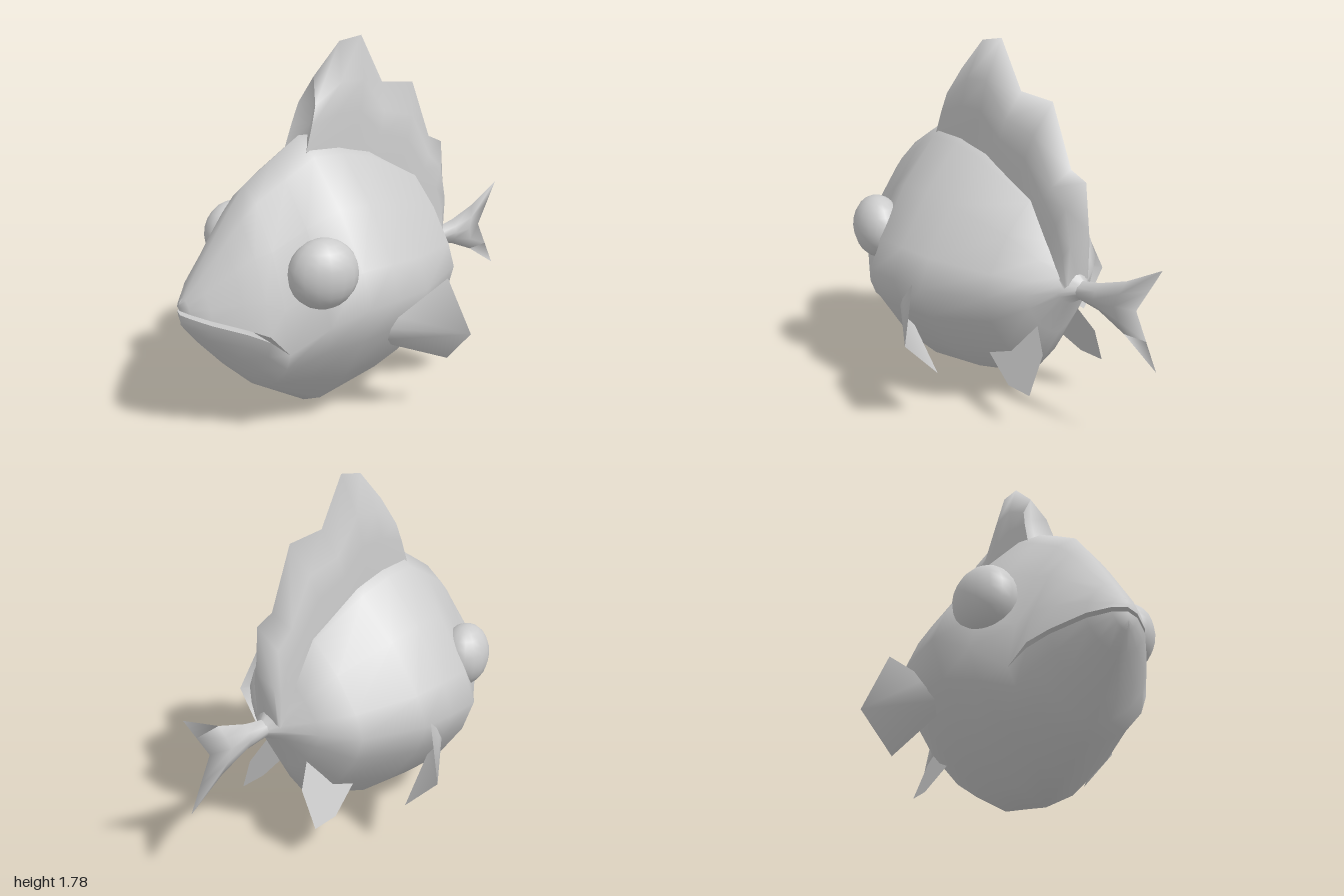
import * as THREE from 'three';
import { mergeVertices } from 'three/addons/utils/BufferGeometryUtils.js';

const material = new THREE.MeshStandardMaterial({ color: 0xcccccc, side: THREE.DoubleSide });

function makeMesh(name, points, index) {
  let geo = new THREE.BufferGeometry();
  geo.setAttribute('position', new THREE.Float32BufferAttribute(points.flat(), 3));
  geo.setIndex(index);
  geo = mergeVertices(geo, 1e-4);
  geo.computeVertexNormals();
  const mesh = new THREE.Mesh(geo, material);
  mesh.name = name;
  return mesh;
}

// Skin a list of cross-sections (each an equal-length list of [x, y, z])
function loft(name, rings) {
  const n = rings[0].length, index = [];
  for (let i = 0; i < rings.length - 1; i++) {
    for (let j = 0; j < n - 1; j++) {
      const a = i * n + j, b = a + n;
      index.push(a, a + 1, b, b, a + 1, b + 1);
    }
  }
  return makeMesh(name, rings.flat(), index);
}

// Thin plate fanned from its first corner; side = 1 or -1 mirrors it in z
function plate(name, corners, side) {
  const index = [];
  for (let i = 1; i < corners.length - 1; i++) {
    index.push(0, ...(side > 0 ? [i + 1, i] : [i, i + 1]));
  }
  return makeMesh(name, corners.map(([x, y, z]) => [x, y, z * side]), index);
}

// Body stations: x, top, upper lip / widest line, lower lip, bottom, half width, roundness above, below
const stations = [
  [-1.0, 0.69, 0.655, 0.635, 0.59, 0, 1.6, 1.6],
  [-0.98, 0.71, 0.65, 0.63, 0.56, 0.06, 1.6, 1.6],
  [-0.92, 0.80, 0.63, 0.608, 0.48, 0.14, 1.6, 1.6],
  [-0.80, 0.97, 0.587, 0.565, 0.34, 0.235, 1.55, 1.6],
  [-0.72, 1.08, 0.55, 0.525, 0.26, 0.29, 1.5, 1.6],
  [-0.65, 1.165, 0.46, 0.46, 0.19, 0.335, 1.5, 1.6],
  [-0.50, 1.26, 0.58, 0.58, 0.095, 0.435, 1.38, 1.5],
  [-0.35, 1.35, 0.66, 0.66, 0.0, 0.53, 1.28, 1.42],
  [-0.18, 1.34, 0.66, 0.66, 0.03, 0.525, 1.28, 1.42],
  [0.0, 1.29, 0.66, 0.66, 0.06, 0.51, 1.3, 1.42],
  [0.3, 1.12, 0.67, 0.67, 0.2, 0.38, 1.35, 1.45],
  [0.42, 0.92, 0.68, 0.68, 0.42, 0.23, 1.4, 1.5],
  [0.5, 0.79, 0.68, 0.68, 0.6, 0.1, 1.5, 1.5],
  [0.56, 0.73, 0.68, 0.68, 0.64, 0.04, 1.5, 1.5],
];

// Quarter curves above and below the lip line, mirrored to the far side
const steps = 4;
function bodyRing([x, top, lipU, lipL, bottom, w, pUp, pLow]) {
  const quarter = (lip, end, p) => Array.from({ length: steps + 1 }, (_, k) => {
    const a = (k / steps) * Math.PI / 2;
    return [x, lip + (end - lip) * Math.abs(Math.cos(a)) ** (2 / p), w * Math.sin(a) ** (2 / p)];
  });
  const half = [...quarter(lipU, top, pUp), ...quarter(lipL, bottom, pLow).reverse()];
  return half.concat(half.slice().reverse().map(([px, y, z]) => [px, y, -z * 1.04]));
}

// Give touching vertices of separate pieces one shared normal
function blendNormals(pieces) {
  const sums = new Map();
  const visit = fn => pieces.forEach(({ geometry: { attributes: { position: p, normal: m } } }) => {
    for (let i = 0; i < p.count; i++) {
      fn([p.getX(i), p.getY(i), p.getZ(i)].map(v => Math.round(v * 1e4)).join(), m, i);
    }
  });
  visit((key, m, i) => {
    if (!sums.has(key)) sums.set(key, new THREE.Vector3());
    sums.get(key).add(new THREE.Vector3().fromBufferAttribute(m, i));
  });
  visit((key, m, i) => {
    const v = sums.get(key).clone().normalize();
    m.setXYZ(i, v.x, v.y, v.z);
  });
}

export function createModel() {
  const fish = new THREE.Group();
  fish.name = 'fish';

  // Body: the lip rows are left unjoined in front, so the mouth is a real slit
  const rings = stations.map(bodyRing), head = rings.slice(0, 6);
  const last = rings[0].length - 1;
  const band = (name, from, to) => loft(name, head.map(r => r.slice(from, to)));
  const skin = [
    loft('trunk', rings.slice(5)),
    band('upperHeadLeft', 0, steps + 1),
    band('lowerJaw', steps + 1, last - steps),
    band('upperHeadRight', last - steps, last + 1),
  ];
  blendNormals(skin);
  const body = new THREE.Group();
  body.name = 'body';
  body.add(
    ...skin,
    loft('palate', head.map(r => [r[steps], r[last - steps]])),
    loft('mouthFloor', head.map(r => [r[last - steps - 1], r[steps + 1]])),
  );
  fish.add(body);

  // Dorsal fin: base x, y then edge x, y
  const dorsal = [
    [-0.37, 1.28, -0.26, 1.61], [-0.22, 1.27, -0.11, 1.76], [-0.08, 1.25, 0.02, 1.78],
    [0.05, 1.20, 0.15, 1.55], [0.2, 1.12, 0.35, 1.53], [0.32, 1.02, 0.47, 1.24],
    [0.4, 0.87, 0.56, 1.2], [0.46, 0.78, 0.58, 0.98], [0.52, 0.70, 0.53, 0.72],
  ];
  const finRings = dorsal.map(([bx, by, ex, ey]) => {
    const at = (t, z) => [bx + (ex - bx) * t, by + (ey - by) * t, z];
    return [at(0, -0.085), at(0.35, -0.078), at(0.63, -0.066), at(1, 0),
      at(0.63, 0.066), at(0.35, 0.078), at(0, 0.085)];
  });
  // Slightly hollow leading face
  const frontFace = finRings[0].map(([x, y, z]) => [x + 0.05 * Math.abs(z) / 0.085, y, 0]);
  fish.add(loft('dorsalFin', finRings), loft('dorsalFinFront', [frontFace, finRings[0]]));

  // Forked tail: top x, y, middle x, bottom x, y, half thickness
  const tail = [
    [0.48, 0.73, 0.48, 0.48, 0.64, 0.04], [0.56, 0.73, 0.56, 0.56, 0.63, 0.045],
    [0.66, 0.75, 0.66, 0.66, 0.615, 0.04], [0.81, 0.805, 0.77, 0.81, 0.55, 0.033],
    [0.995, 0.91, 0.87, 0.995, 0.43, 0],
  ];
  fish.add(loft('tailFin', tail.map(([tx, ty, mx, bx, by, w]) => {
    const my = 0.683;
    const left = [[tx, ty, 0], [(tx + mx) / 2, (ty + my) / 2, w * 0.75], [mx, my, w],
      [(bx + mx) / 2, (by + my) / 2, w * 0.75], [bx, by, 0]];
    return left.concat(left.slice(0, -1).reverse().map(([x, y, z]) => [x, y, -z]));
  })));

  // Paired eyes and fins
  for (const side of [1, -1]) {
    const tag = side > 0 ? 'Left' : 'Right';
    const eye = new THREE.Mesh(new THREE.SphereGeometry(0.16, 16, 12), material);
    eye.name = 'eye' + tag;
    eye.scale.z = 0.76;
    eye.position.set(-0.497, 0.82, 0.377 * side);
    eye.rotation.y = -0.32 * side;
    fish.add(eye);

    fish.add(plate('pectoralFin' + tag, [
      [0.11, 0.47, 0.69], [0.13, 0.28, 0.52], [-0.15, 0.4, 0.43], [-0.195, 0.45, 0.46],
      [-0.195, 0.51, 0.48], [-0.16, 0.56, 0.49], [0.05, 0.73, 0.59],
    ], side));

    const pelvic = [[0.34, 0.2], [0.16, 0.3], [0.3, 0.35], [0.41, 0.5], [0.49, 0.39], [0.48, 0.2]];
    fish.add(plate('pelvicFin' + tag,
      pelvic.map(([x, y]) => [x, y, 0.14 + (0.5 - y) * 0.4]), side));
  }
  return fish;
}
